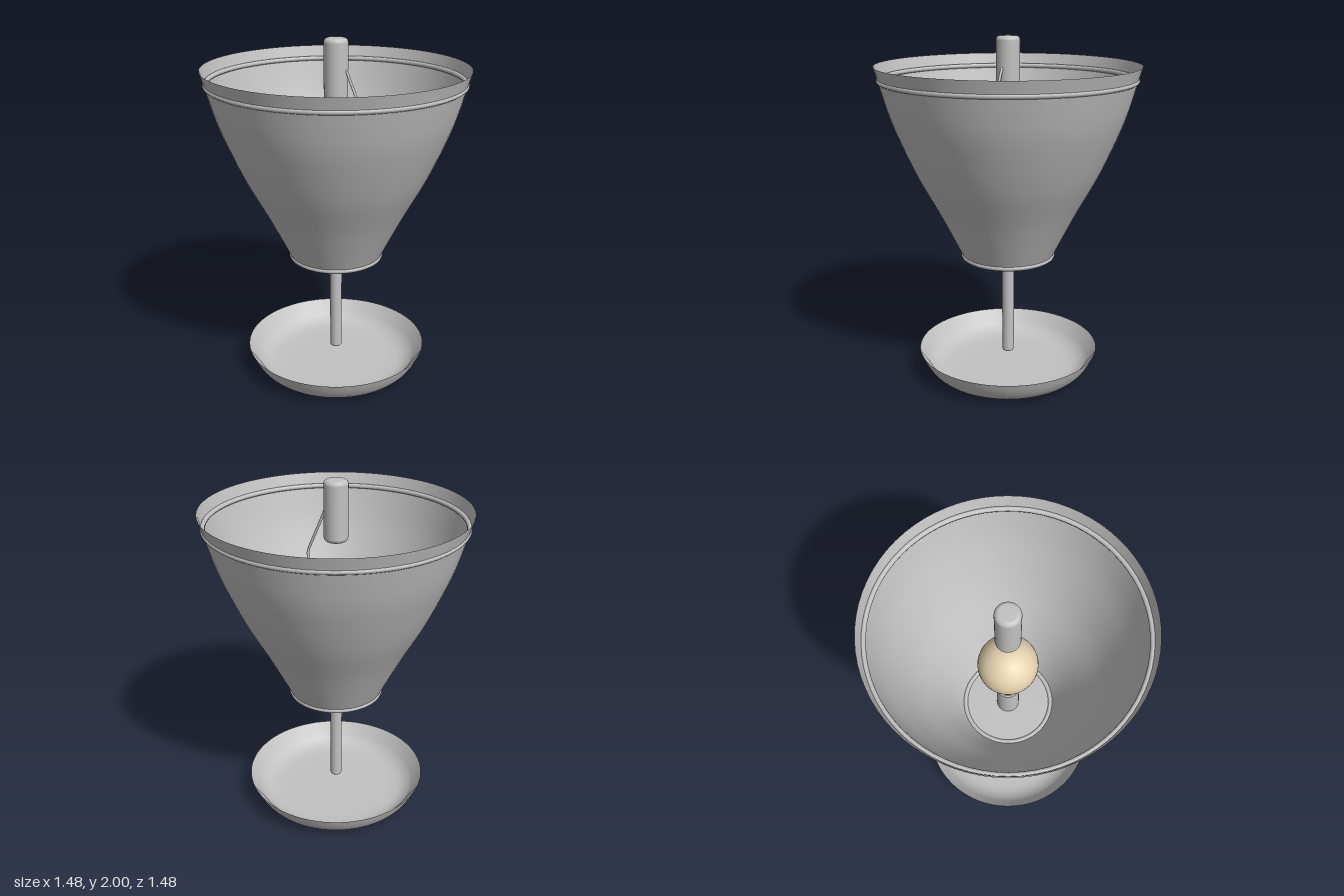
import * as THREE from 'three';

const SEG = 72;

export function createModel() {
  const group = new THREE.Group();
  const metal = new THREE.MeshStandardMaterial({ color: 0xc2c2c2, side: THREE.DoubleSide });
  metal.name = 'grey metal';
  const glass = new THREE.MeshStandardMaterial({ color: 0xe6d3b0 });
  glass.name = 'warm glass';

  const add = (name, geometry, material = metal, y = 0) => {
    const mesh = new THREE.Mesh(geometry, material);
    mesh.name = name;
    mesh.position.y = y;
    group.add(mesh);
    return mesh;
  };
  const points = (list) => list.map(([r, y]) => new THREE.Vector2(r, y));
  const lathe = (list) => new THREE.LatheGeometry(points(list), SEG);
  // Lathe through a smooth curve
  const curvedLathe = (list, n) =>
    new THREE.LatheGeometry(new THREE.SplineCurve(points(list)).getPoints(n), SEG);
  const ring = (name, radius, tube, y) =>
    add(name, new THREE.TorusGeometry(radius, tube, 10, SEG).rotateX(Math.PI / 2), metal, y);
  // Cylinder with rounded rims
  const roundedRod = (radius, bottom, top, bevel) => {
    const profile = [[0, bottom]];
    for (const [y, start] of [[bottom + bevel, -Math.PI / 2], [top - bevel, 0]])
      for (let i = 0; i <= 6; i++) {
        const a = start + (i / 6) * Math.PI / 2;
        profile.push([radius - bevel + bevel * Math.cos(a), y + bevel * Math.sin(a)]);
      }
    profile.push([0, top]);
    return lathe(profile);
  };

  // Dish-shaped foot: thin bowl with an outer and an inner skin
  add('footOutside', curvedLathe([[0, 0.004], [0.2, 0.004], [0.36, 0.005], [0.43, 0.018],
    [0.475, 0.052], [0.507, 0.1], [0.533, 0.157]], 36));
  add('footInside', curvedLathe([[0.533, 0.157], [0.495, 0.105], [0.46, 0.065],
    [0.41, 0.036], [0.34, 0.025], [0.2, 0.022], [0, 0.022]], 36));

  // Stem
  add('stem', roundedRod(0.035, 0.115, 0.75, 0.015));

  // Flaring shade with its floor plate
  add('shade', curvedLathe([[0.262, 0.735], [0.395, 1.0], [0.513, 1.22], [0.603, 1.42],
    [0.664, 1.58], [0.718, 1.77]], 40));
  add('shadeCollar', lathe([[0.716, 1.765], [0.739, 1.842]]));
  add('shadeFloor', new THREE.CylinderGeometry(0.25, 0.25, 0.01, SEG), metal, 0.742);
  ring('lowerShadeRing', 0.259, 0.016, 0.739);
  ring('upperShadeRing', 0.711, 0.014, 1.765);

  // Bulb with rounded head and narrowing neck, on its socket
  const bulb = [[0.05, 0.97], [0.065, 1.07], [0.115, 1.21]];
  for (let i = 0; i <= 12; i++) {
    const a = -0.4 + (i / 12) * (Math.PI / 2 + 0.4);
    bulb.push([Math.max(0, 0.165 * Math.cos(a)), 1.355 + 0.165 * Math.sin(a)]);
  }
  add('bulb', lathe(bulb), glass);
  add('socket', new THREE.CylinderGeometry(0.066, 0.066, 0.26, 32), metal, 0.87);

  // Rounded knob above the bulb
  add('knob', roundedRod(0.067, 1.66, 2, 0.025));

  // Bent wire carrying the knob
  const wire = new THREE.CurvePath();
  const bends = [[0.05, 1.86], [0.172, 1.58], [0.174, 0.745]].map(([x, y]) => new THREE.Vector3(x, y, 0));
  for (let i = 0; i < 2; i++) wire.add(new THREE.LineCurve3(bends[i], bends[i + 1]));
  add('knobWire', new THREE.TubeGeometry(wire, 40, 0.008, 8));

  return group;
}
